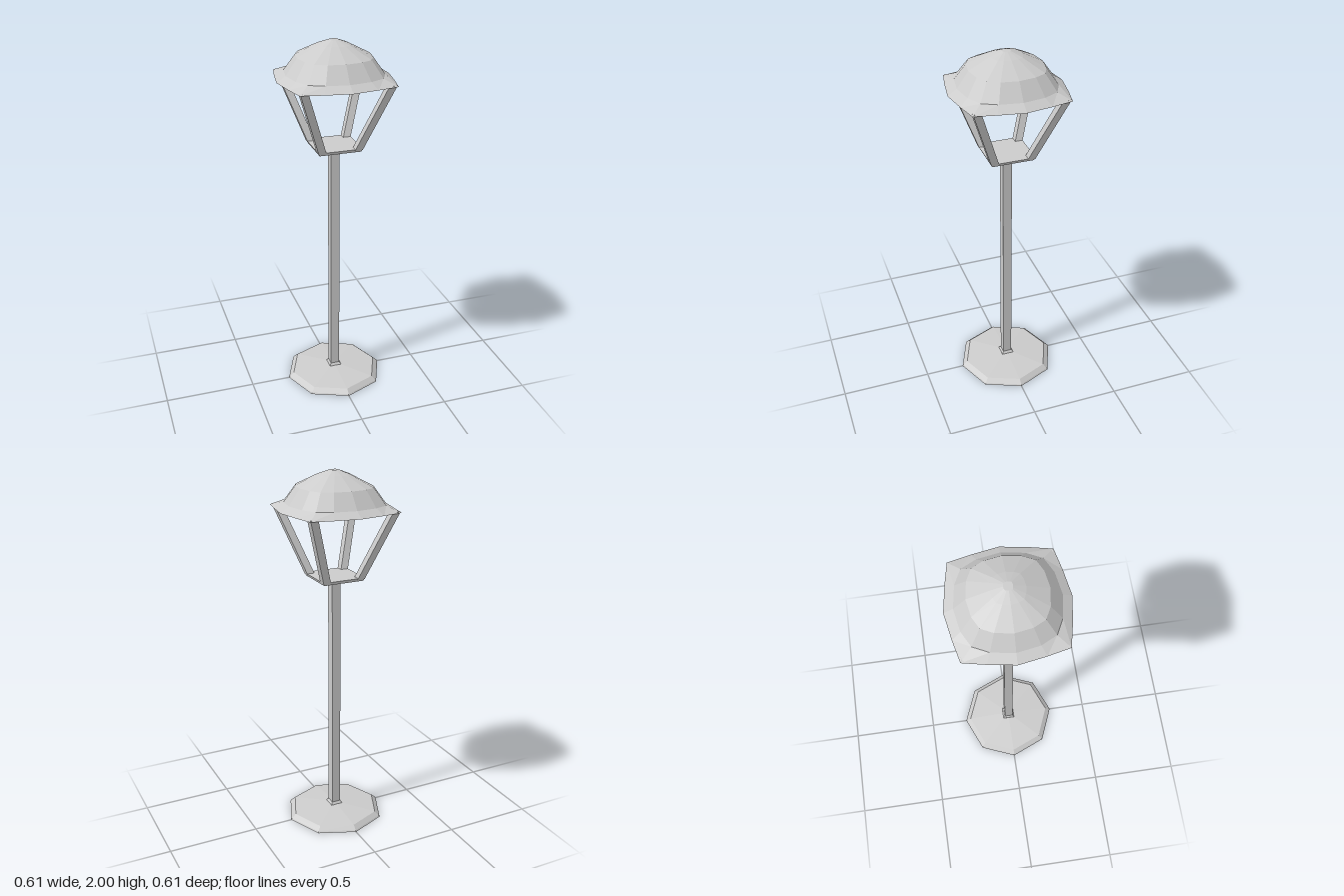
import * as THREE from 'three';

const material = new THREE.MeshStandardMaterial({ color: 0xcccccc, flatShading: true });

// Skins a stack of equal-length rings of [x, y, z] and caps both ends.
// Rings run counter-clockwise seen from above.
function loft(name, rings) {
  const pos = [];
  const n = rings[0].length;
  const centre = (ring) => [0, 1, 2].map((k) => ring.reduce((s, p) => s + p[k], 0) / n);
  const first = rings[0], last = rings[rings.length - 1];
  const c0 = centre(first), c1 = centre(last);
  for (let i = 0; i < n; i++) {
    const j = (i + 1) % n;
    for (let r = 0; r < rings.length - 1; r++) {
      const a = rings[r], b = rings[r + 1];
      pos.push(...a[i], ...a[j], ...b[j], ...a[i], ...b[j], ...b[i]);
    }
    pos.push(...c0, ...first[j], ...first[i], ...c1, ...last[i], ...last[j]);
  }
  const geometry = new THREE.BufferGeometry();
  geometry.setAttribute('position', new THREE.Float32BufferAttribute(pos, 3));
  geometry.computeVertexNormals();
  const mesh = new THREE.Mesh(geometry, material);
  mesh.name = name;
  return mesh;
}

// Regular polygon ring with its first corner at the given angle from +z
function polygon(sides, radius, y, turn = 0) {
  return Array.from({ length: sides }, (_, i) => {
    const t = turn + (i / sides) * Math.PI * 2;
    return [Math.sin(t) * radius, y, Math.cos(t) * radius];
  });
}

// Square ring of half-width h, optionally shifted sideways
function square(h, y, x = 0, z = 0) {
  return polygon(4, h * Math.SQRT2, y, Math.PI / 4).map((p) => [p[0] + x, y, p[2] + z]);
}

// Bulged-square ring of 16 points: m = middle of a side, c = corner
function bulgedSquare(y, m, c) {
  const ring = [];
  for (let q = 0; q < 4; q++) {
    const s = [0, 1, 0, -1][q], k = [1, 0, -1, 0][q];
    for (const [u, v] of [[0, m], [0.46 * m, 0.925 * m], [c, c], [0.925 * m, 0.46 * m]]) {
      ring.push([u * k + v * s, y, v * k - u * s]);
    }
  }
  return ring;
}

export function createModel() {
  const lamp = new THREE.Group();
  lamp.name = 'streetLamp';

  // Octagonal foot with a bevelled edge and a shallow sloping top
  lamp.add(loft('base', [[0.28, 0], [0.275, 0.008], [0.25, 0.03], [0.035, 0.05]]
    .map(([r, y]) => polygon(8, r, y))));

  // Square pole with a small flared collar
  lamp.add(loft('pole', [[0.035, 0.04], [0.034, 0.052], [0.025, 0.064], [0.025, 1.43]]
    .map(([h, y]) => square(h, y))));

  // Lantern floor
  lamp.add(loft('lanternFloor', [square(0.114, 1.425), square(0.122, 1.442)]));

  // Four struts leaning outward at the corners
  for (let q = 0; q < 4; q++) {
    const strut = loft('strut', [
      square(0.021, 1.435, 0.099, 0.099),
      square(0.021, 1.805, 0.23, 0.23),
    ]);
    strut.rotation.y = q * Math.PI / 2;
    lamp.add(strut);
  }

  // Hollow roof: inner dome down to the opening, flat eave, then the outer dome
  lamp.add(loft('roof', [
    [1.965, 0.02, 0.016],
    [1.895, 0.165, 0.127],
    [1.8, 0.212, 0.177],
    [1.8, 0.304, 0.256],
    [1.832, 0.256, 0.197],
    [1.918, 0.195, 0.15],
    [1.977, 0.082, 0.064],
    [2.0, 0.023, 0.018],
  ].map((p) => bulgedSquare(...p))));

  return lamp;
}
